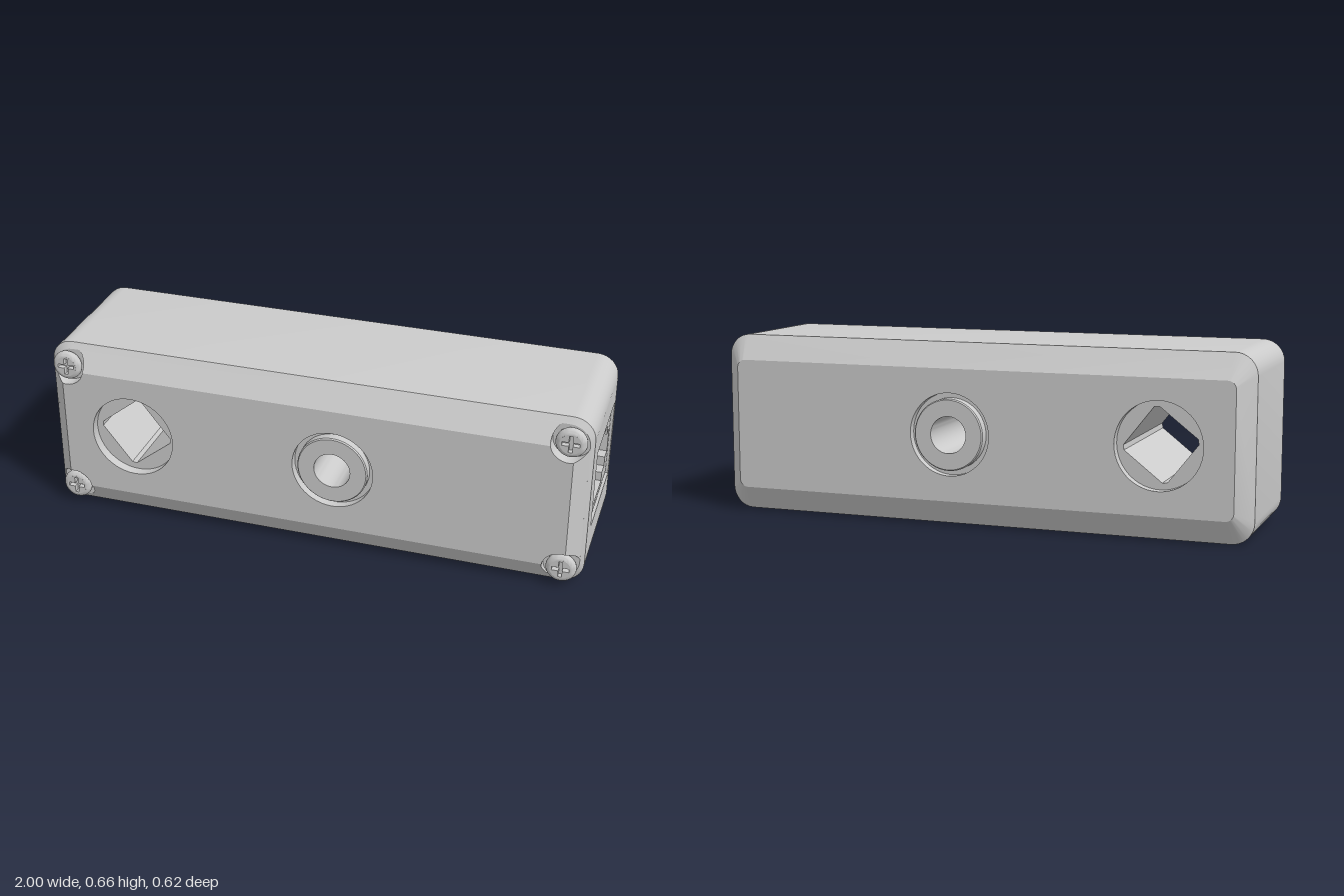
import * as THREE from 'three';
import { toCreasedNormals } from 'three/addons/utils/BufferGeometryUtils.js';

const grey = new THREE.MeshStandardMaterial({ color: 0xcccccc });
const greyBoth = new THREE.MeshStandardMaterial({ color: 0xcccccc, side: THREE.DoubleSide });
const MID = 0.33; // height of the body's centre line
const SQUARE = [-0.675, 0.335], BUSH = [0.092, 0.333];
const SCREW = { x: 0.925, y: 0.253, r: 0.068, floor: 0.26 };

const add = (parent, name, geo, mat = grey) => {
  const m = new THREE.Mesh(toCreasedNormals(geo, 0.6), mat);
  m.name = name;
  parent.add(m);
  return m;
};
const v2 = pts => pts.map(p => new THREE.Vector2(p[0], p[1]));
const circle = (x, y, r, n = 48) => Array.from({ length: n }, (_, i) => {
  const a = i / n * Math.PI * 2;
  return [x + r * Math.cos(a), y + r * Math.sin(a)];
});
const rect = (x0, y0, x1, y1) => [[x0, y0], [x1, y0], [x1, y1], [x0, y1]];
const shape = (outer, ...holes) => {
  const s = new THREE.Shape(v2(outer));
  s.holes = holes.map(h => new THREE.Path(v2(h)));
  return s;
};
const extrude = (s, z0, z1) =>
  new THREE.ExtrudeGeometry(s, { depth: z1 - z0, bevelEnabled: false }).translate(0, 0, z0);
// Box given by its limits
const box = (x0, x1, y0, y1, z0, z1) => new THREE.BoxGeometry(x1 - x0, y1 - y0, z1 - z0)
  .translate((x0 + x1) / 2, (y0 + y1) / 2, (z0 + z1) / 2);

// Skin between outlines, each { pts, z }, ordered from back to front
function loft(rings, closed = true) {
  const pos = [], idx = [], n = rings[0].pts.length;
  rings.forEach(r => r.pts.forEach(p => pos.push(p[0], p[1], r.z)));
  for (let k = 0; k < rings.length - 1; k++)
    for (let i = 0; i < (closed ? n : n - 1); i++) {
      const a = k * n + i, b = k * n + (i + 1) % n;
      idx.push(a, b, b + n, a, b + n, a + n);
    }
  const g = new THREE.BufferGeometry();
  g.setAttribute('position', new THREE.Float32BufferAttribute(pos, 3));
  g.setIndex(idx);
  return g;
}

// Rounded rectangle, starting at the top of the +x side
function roundRect(hx, hy, r, n = 8) {
  const out = [];
  [[1, 1], [-1, 1], [-1, -1], [1, -1]].forEach(([sx, sy], q) => {
    for (let i = 0; i <= n; i++) {
      const a = (q + i / n) * Math.PI / 2;
      out.push([sx * (hx - r) + r * Math.cos(a), MID + sy * (hy - r) + r * Math.sin(a)]);
    }
  });
  return out;
}

// Rectangle with a round bite at each corner for the screw pockets
function bittenRect(X, Y, n = 20) {
  const out = [], { x, y, r } = SCREW;
  const a0 = -Math.acos((X - x) / r), a1 = -Math.PI - Math.asin((Y - y) / r);
  for (const [sx, sy] of [[1, 1], [-1, 1], [-1, -1], [1, -1]]) {
    const arc = [];
    for (let i = 0; i <= n; i++) {
      const a = a0 + (a1 - a0) * i / n;
      arc.push([sx * (x + r * Math.cos(a)), MID + sy * (y + r * Math.sin(a))]);
    }
    out.push(...(sx * sy < 0 ? arc.reverse() : arc));
  }
  return out;
}

function makeHousing() {
  const g = new THREE.Group();
  g.name = 'housing';
  const full = roundRect(1, MID, 0.08), back = roundRect(0.94, 0.24, 0.03);
  const ledge = roundRect(0.9855, 0.308, 0.072);
  const holes = [circle(...SQUARE, 0.157), circle(...BUSH, 0.15)];

  add(g, 'sideWalls', loft([{ pts: full, z: -0.24 }, { pts: full, z: 0.245 }], false));
  add(g, 'backChamfer', loft([{ pts: back, z: -0.3 }, { pts: full, z: -0.24 }]));
  add(g, 'frontLip', loft([{ pts: full, z: 0.245 }, { pts: ledge, z: SCREW.floor }]));
  add(g, 'screwPocketFloors', new THREE.ShapeGeometry(shape(ledge, ...holes)).translate(0, 0, SCREW.floor));

  // Front chamfer with the four pockets cut out of it
  const rings = [];
  for (let i = 0; i <= 6; i++) {
    const z = SCREW.floor + (0.307 - SCREW.floor) * i / 6, t = (z - 0.245) / 0.062;
    rings.push({ pts: bittenRect(1 - 0.06 * t, MID - 0.09 * t), z });
  }
  add(g, 'frontChamfer', loft(rings));
  add(g, 'frontFace', new THREE.ShapeGeometry(shape(rings[6].pts, ...holes)).translate(0, 0, 0.307));
  // Back face is mirrored in x, then turned round
  const flip = pts => pts.map(p => [-p[0], p[1]]);
  add(g, 'backFace', new THREE.ShapeGeometry(shape(flip(back), ...holes.map(flip)))
    .rotateY(Math.PI).translate(0, 0, -0.3));

  // End wall with the socket opening
  const opening = rect(-0.157, 0.178, 0.227, 0.483);
  add(g, 'socketEnd', new THREE.ShapeGeometry(shape(rect(-0.245, 0.08, 0.24, 0.58), opening))
    .rotateY(Math.PI / 2).translate(1, 0, 0));
  add(g, 'socketSleeve', extrude(shape(rect(-0.167, 0.168, 0.237, 0.493), opening), 0.7, 0.999)
    .rotateY(Math.PI / 2));
  return g;
}

const pocketWall = (r, [x, y]) => new THREE.CylinderGeometry(r, r, 0.607, 48, 1, true)
  .rotateX(Math.PI / 2).translate(x, y, 0.0035);

function makeSquareHole() {
  const g = new THREE.Group();
  g.name = 'squareThroughHole';
  const sq = [];
  for (let i = 0; i < 4; i++)
    for (const d of [-4, 4]) {
      const a = (83 + i * 90 + d) * Math.PI / 180;
      sq.push([SQUARE[0] + 0.133 * Math.cos(a), SQUARE[1] + 0.133 * Math.sin(a)]);
    }
  add(g, 'recessWall', pocketWall(0.157, SQUARE), greyBoth);
  add(g, 'squareTube', extrude(shape(circle(...SQUARE, 0.157), sq), -0.265, 0.27));
  return g;
}

function makeBushing() {
  const g = new THREE.Group();
  g.name = 'bushing';
  add(g, 'grooveWall', pocketWall(0.15, BUSH), greyBoth);
  add(g, 'grooveFloor', extrude(shape(circle(...BUSH, 0.15), circle(...BUSH, 0.1)), -0.27, 0.275));
  const prof = [[0.067, 0.31], [0.067, -0.31], [0.126, -0.31], [0.13, -0.305], [0.13, 0.305], [0.126, 0.31], [0.067, 0.31]];
  add(g, 'sleeve', new THREE.LatheGeometry(v2(prof), 48).rotateX(Math.PI / 2).translate(...BUSH, 0));
  return g;
}

function makeScrew(x, y) {
  const g = new THREE.Group();
  g.name = 'screw';
  const prof = [[0.04, 0]];
  for (let i = 0; i <= 8; i++) {
    const a = (-0.5 + i / 8) * Math.PI;
    prof.push([0.037 + 0.018 * Math.cos(a), 0.02 + 0.018 * Math.sin(a)]);
  }
  add(g, 'headRim', new THREE.LatheGeometry(v2(prof), 32).rotateX(Math.PI / 2));
  // Cross-shaped drive recess
  const l = 0.031, w = 0.007;
  const cross = [[l, -w], [l, w], [w, w], [w, l], [-w, l], [-w, w], [-l, w], [-l, -w], [-w, -w], [-w, -l], [w, -l], [w, -w]];
  add(g, 'headTop', extrude(shape(circle(0, 0, 0.038, 32), cross), 0.015, 0.038));
  add(g, 'recessFloor', new THREE.CircleGeometry(0.038, 24).translate(0, 0, 0.018));
  g.position.set(x, y, SCREW.floor + 0.002);
  return g;
}

function makeSocket() {
  const g = new THREE.Group();
  g.name = 'modularSocket';
  // Stepped plug opening; the shape's x runs towards the back
  const key = [[-0.14, 0.213], [0.107, 0.213], [0.107, 0.248], [0.157, 0.248], [0.157, 0.285], [0.203, 0.285],
    [0.203, 0.38], [0.157, 0.38], [0.157, 0.417], [0.107, 0.417], [0.107, 0.452], [-0.14, 0.452]];
  add(g, 'socketShell', extrude(shape(rect(-0.157, 0.187, 0.217, 0.479), key), 0.58, 0.99).rotateY(Math.PI / 2));
  add(g, 'socketBack', box(0.57, 0.6, 0.187, 0.479, -0.217, 0.157));
  add(g, 'rearPlate', box(0.6, 0.61, 0.288, 0.378, -0.118, -0.073));
  for (const s of [-1, 1]) {
    const y = 0.3325 + s * 0.102;
    add(g, 'latchShelf', box(0.6, 0.82, y - 0.018, y + 0.018, -0.107, -0.073));
    add(g, 'sideLedge', box(0.6, 0.88, y - 0.04 + s * 0.011, y + 0.04 - Math.max(s, 0) * 0.022, 0.1, 0.14));
  }
  add(g, 'contactBlock', box(0.6, 0.94, 0.275, 0.388, 0.1, 0.14));
  // Comb ribs with spring contacts between them
  for (let i = 0; i < 5; i++) {
    const y = 0.27 + i * 0.031;
    add(g, 'combRib', box(0.6, 0.78, y - 0.005, y + 0.005, -0.02, 0.1));
    if (i === 4) continue;
    const path = new THREE.LineCurve3(new THREE.Vector3(0.92, y + 0.0155, 0.1), new THREE.Vector3(0.66, y + 0.0155, 0.015));
    add(g, 'contact', new THREE.TubeGeometry(path, 1, 0.008, 10));
    add(g, 'contactSlot', box(0.6, 0.64, y + 0.007, y + 0.024, -0.05, 0.1));
  }
  return g;
}

export function createModel() {
  const model = new THREE.Group();
  model.name = 'sensorBox';
  model.add(makeHousing(), makeSquareHole(), makeBushing(), makeSocket());
  for (const sx of [-1, 1])
    for (const sy of [-1, 1]) model.add(makeScrew(sx * SCREW.x, MID + sy * SCREW.y));
  return model;
}
